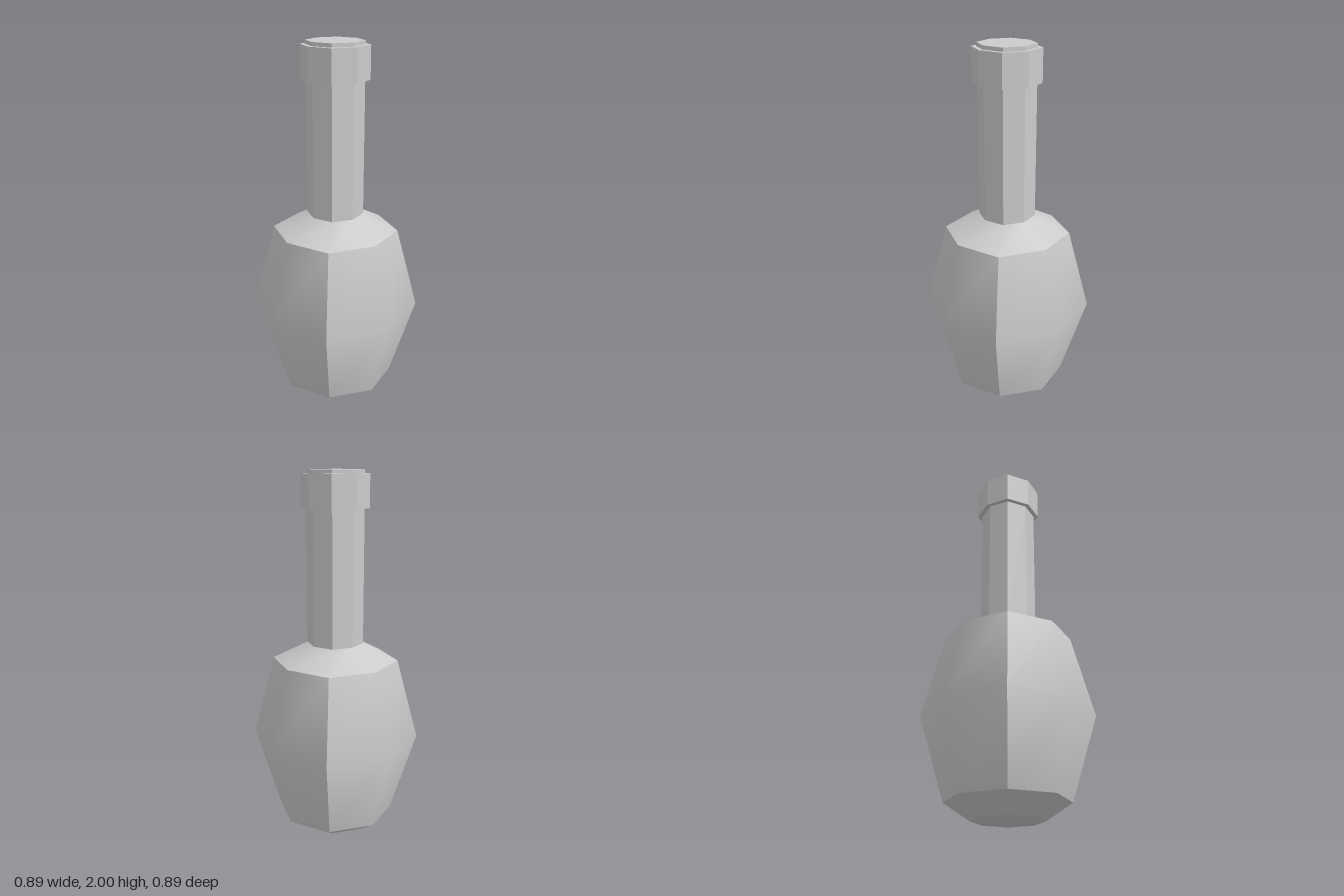
import * as THREE from 'three';

const material = new THREE.MeshStandardMaterial({ color: 0xcccccc });

// Lofts eight-sided rings [y, radius on the axes, half-width at the corners], bottom to top.
// first/steps limit the loft to an arc of sides; eight steps close the ring.
function loft(name, rings, { first = 0, steps = 8, flat = true } = {}) {
  const columns = steps === 8 ? 8 : steps + 1;
  const positions = [];
  const index = [];
  for (const [y, axis, corner] of rings) {
    for (let i = 0; i < columns; i++) {
      const side = (first + i) % 8;
      const r = side % 2 ? corner * Math.SQRT2 : axis;
      const a = (side * Math.PI) / 4;
      positions.push(r * Math.cos(a), y, -r * Math.sin(a));
    }
  }
  for (let j = 0; j < rings.length - 1; j++) {
    for (let i = 0; i < steps; i++) {
      const n = (i + 1) % columns;
      const a = j * columns + i, b = j * columns + n;
      const c = b + columns, d = a + columns;
      // A ring of zero radius is a cap centre, so it needs one triangle only
      if (rings[j][1] > 0) index.push(a, b, c);
      if (rings[j + 1][1] > 0) index.push(a, c, d);
      else if (rings[j][1] === 0) continue;
    }
  }
  let geometry = new THREE.BufferGeometry();
  geometry.setAttribute('position', new THREE.Float32BufferAttribute(positions, 3));
  geometry.setIndex(index);
  if (flat) geometry = geometry.toNonIndexed();
  geometry.computeVertexNormals();
  const mesh = new THREE.Mesh(geometry, material);
  mesh.name = name;
  return mesh;
}

export function createModel() {
  const model = new THREE.Group();
  model.name = 'bottle';

  const base = [0, 0.19, 0.134];
  const lower = [0.09, 0.328, 0.23];
  const belly = [0.54, 0.447, 0.328];
  const upper = [0.985, 0.328, 0.244];
  const neck = (y) => [y, 0.147, 0.109];
  const collar = (y) => [y, 0.172, 0.128];

  // Underside and bevelled foot
  model.add(loft('base', [[0, 0, 0], base]));
  model.add(loft('foot', [base, lower], { flat: false }));

  // Four smooth belly panels meeting in hard edges at the corners
  const body = new THREE.Group();
  body.name = 'body';
  for (let k = 0; k < 4; k++) {
    body.add(loft('bodyPanel', [lower, belly, upper], { first: 2 * k + 1, steps: 2, flat: false }));
  }
  model.add(body);

  // Sloping shoulder, straight neck, then the collar with its raised lip
  model.add(loft('shoulder', [upper, neck(1.08)], { flat: false }));
  model.add(loft('neck', [neck(1.08), neck(1.805)]));
  model.add(loft('collar', [neck(1.805), collar(1.805), collar(1.98), neck(1.98)]));
  model.add(loft('lip', [neck(1.98), neck(2), [2, 0, 0]]));

  return model;
}
